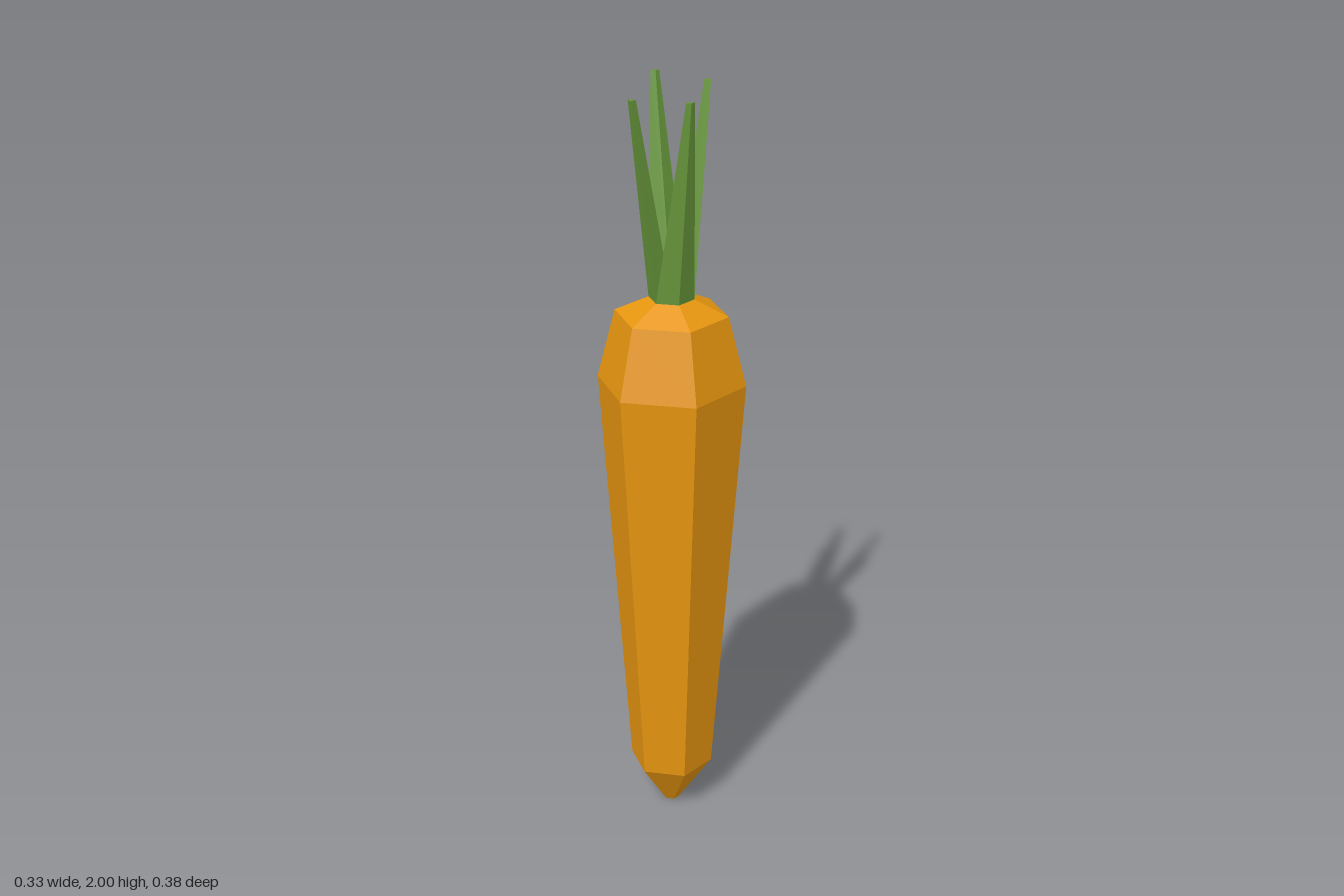
import * as THREE from 'three';

const BASE_Y = 1.46;

// Tapered blade: joins a base outline to a small tip outline and caps the tip.
// Outlines are [x, z] corners, counter-clockwise seen from above.
function bladeGeometry(base, tip, tipY) {
  const n = base.length;
  const rings = [
    ...base.map(([x, z]) => [x, BASE_Y, z]),
    ...tip.map(([x, z]) => [x, tipY, z]),
  ];
  const index = [];
  for (let i = 0; i < n; i++) {
    const j = (i + 1) % n;
    index.push(i, j, n + i, j, n + j, n + i);
  }
  for (let i = 1; i < n - 1; i++) index.push(n, n + i, n + i + 1);
  const geometry = new THREE.BufferGeometry();
  geometry.setAttribute('position', new THREE.Float32BufferAttribute(rings.flat(), 3));
  geometry.setIndex(index);
  const flat = geometry.toNonIndexed();
  flat.computeVertexNormals();
  return flat;
}

export function createModel() {
  const orange = new THREE.MeshStandardMaterial({ color: 0xe6950f, flatShading: true });
  orange.name = 'carrot orange';
  const green = new THREE.MeshStandardMaterial({ color: 0x66963a, flatShading: true });
  green.name = 'leaf green';

  const model = new THREE.Group();
  model.name = 'carrot';

  // Six-sided root with corners on the z axis
  const profile = [[0, 0], [0.022, 0], [0.11, 0.13], [0.19, 1.24], [0.144, 1.42], [0.058, BASE_Y], [0, BASE_Y]];
  const root = new THREE.Mesh(
    new THREE.LatheGeometry(profile.map(([r, y]) => new THREE.Vector2(r, y)), 6),
    orange
  );
  root.name = 'root';
  model.add(root);

  // Four leaves that share the hexagonal crown
  const c = [0, 0];
  const fl = [0.05, 0.029], bl = [0.05, -0.029], fr = [-0.05, 0.029], br = [-0.05, -0.029];
  const leaves = [
    ['frontLeaf', [[0, 0.058], fl, c, fr],
      [[0.011, 0.112], [0.022, 0.105], [0.011, 0.099], [0, 0.105]], 1.97],
    ['backLeaf', [[0, -0.058], br, c, bl],
      [[-0.005, -0.115], [-0.016, -0.11], [-0.005, -0.104], [0.006, -0.11]], 2.0],
    ['leftLeaf', [fl, bl, c],
      [[0.104, -0.014], [0.104, -0.03], [0.09, -0.024]], 1.99],
    ['rightLeaf', [br, fr, c],
      [[-0.105, -0.01], [-0.105, 0.01], [-0.088, 0]], 1.96],
  ];
  for (const [name, base, tip, tipY] of leaves) {
    const leaf = new THREE.Mesh(bladeGeometry(base, tip, tipY), green);
    leaf.name = name;
    model.add(leaf);
  }
  return model;
}
